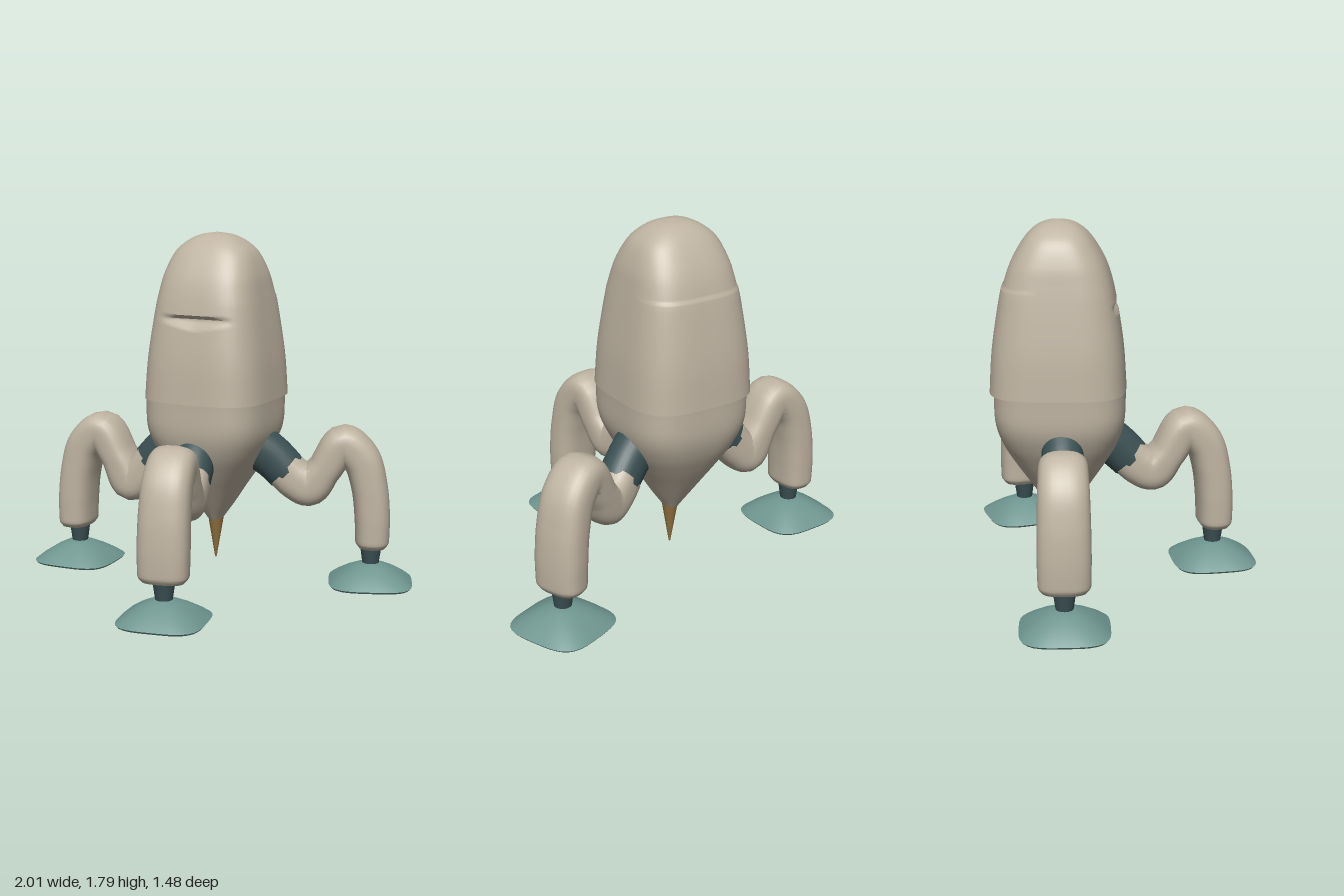
import * as THREE from 'three';
import { toCreasedNormals } from 'three/addons/utils/BufferGeometryUtils.js';

const V = (x, y, z) => new THREE.Vector3(x, y, z);
const mat = (name, color) => Object.assign(new THREE.MeshStandardMaterial({ color }), { name });

// Rounded-square ring: centre c, half sizes hu and hv along axes u and v, exponent n
function ring(c, u, v, hu, hv, n, seg = 32) {
  return Array.from({ length: seg }, (_, j) => {
    const a = (j / seg) * Math.PI * 2, p = Math.cos(a), q = Math.sin(a);
    const r = Math.pow(Math.abs(p) ** n + Math.abs(q) ** n, -1 / n);
    return c.clone().addScaledVector(u, hu * r * p).addScaledVector(v, hv * r * q);
  });
}

// Skin through rings, with both ends capped
function loft(rings, crease = 0.7) {
  const seg = rings[0].length, pos = [], idx = [];
  rings.flat().forEach((p) => pos.push(p.x, p.y, p.z));
  for (let i = 0; i < rings.length - 1; i++) {
    for (let j = 0; j < seg; j++) {
      const a = i * seg + j, b = i * seg + ((j + 1) % seg);
      idx.push(a, b, a + seg, b, b + seg, a + seg);
    }
  }
  [0, rings.length - 1].forEach((i) => {
    const c = rings[i].reduce((s, p) => s.add(p), V(0, 0, 0)).divideScalar(seg);
    const k = pos.length / 3;
    pos.push(c.x, c.y, c.z);
    for (let j = 0; j < seg; j++) {
      const a = i * seg + j, b = i * seg + ((j + 1) % seg);
      if (i === 0) idx.push(k, b, a); else idx.push(k, a, b);
    }
  });
  const g = new THREE.BufferGeometry();
  g.setAttribute('position', new THREE.Float32BufferAttribute(pos, 3));
  g.setIndex(idx);
  return toCreasedNormals(g, crease);
}

const X = V(1, 0, 0), Z = V(0, 0, 1);

// Upright shape from rows of [y, half width, half depth]
function upright(rows, cx, cz, n, samples, seg, rule) {
  const curve = new THREE.CatmullRomCurve3(rows.map(([y, w, d]) => V(w, y, d)), false, 'centripetal');
  const rings = curve.getSpacedPoints(samples).map((p) => {
    const r = ring(V(cx, p.y, cz), Z, X, Math.max(p.z, 0.001), Math.max(p.x, 0.001), n(p.y), seg);
    if (rule) r.forEach(rule);
    return r;
  });
  return loft(rings);
}

// Bent limb in the x-y plane from rows of [x, y, half thickness, half width]
function limb(rows, n, samples) {
  const path = new THREE.CatmullRomCurve3(rows.map(([x, y]) => V(x, y, 0)), false, 'centripetal');
  const size = (t, k) => {
    const f = t * (rows.length - 1), i = Math.min(Math.floor(f), rows.length - 2);
    return THREE.MathUtils.lerp(rows[i][k], rows[i + 1][k], f - i);
  };
  const rings = [];
  for (let s = 0; s <= samples; s++) {
    const t = s / samples, u = Z.clone().cross(path.getTangent(t));
    rings.push(ring(path.getPoint(t), u, Z, size(t, 2), size(t, 3), n));
  }
  return loft(rings, 0.9);
}

export function createModel() {
  const model = new THREE.Group();
  const shell = mat('warm grey shell', 0xbfb4a2);
  const teal = mat('teal pad', 0x6f968f);
  const dark = mat('dark joint', 0x3b5053);
  const bronze = mat('bronze spike', 0x917140);
  const add = (parent, name, geometry, material) => {
    const m = new THREE.Mesh(geometry, material);
    m.name = name;
    parent.add(m);
    return m;
  };
  const cx = 0.01, cz = -0.255;

  // Slit under the brow, and the slightly raised panel on the back
  const carve = (p) => {
    const dx = (p.x - 0.02) / 0.19;
    if (p.z > cz + 0.15 && Math.abs(dx) < 1) {
      const low = 1.36 - 0.035 * (1 - Math.abs(dx));
      const k = p.y > 1.38 ? (1.4 - p.y) / 0.02 : (p.y - low) / (1.38 - low);
      p.z -= 0.032 * (1 - dx * dx) * THREE.MathUtils.clamp(k, 0, 1);
    }
    if (p.z < cz - 0.1 && p.y < 1.48) p.z -= 0.007;
  };

  // Upper shell
  add(model, 'upperShell', upright([
    [0.965, 0.32, 0.332], [1.15, 0.308, 0.32], [1.3, 0.29, 0.3], [1.5, 0.26, 0.262],
    [1.6, 0.24, 0.227], [1.7, 0.198, 0.168], [1.75, 0.145, 0.122], [1.78, 0.085, 0.072], [1.795, 0, 0],
  ], cx, cz, (y) => (y < 1.45 ? 3.5 : 3.5 - (y - 1.45) * 2.5), 110, 80, carve), shell);

  // Lower hull tapering to the spike
  add(model, 'lowerHull', upright([
    [0.32, 0.035, 0.05], [0.4, 0.09, 0.105], [0.5, 0.15, 0.172], [0.6, 0.212, 0.235],
    [0.7, 0.268, 0.288], [0.8, 0.304, 0.318], [0.97, 0.313, 0.325],
  ], cx, -0.25, (y) => 2.1 + Math.min(1.4, Math.max(0, y - 0.35) * 2.8), 40, 64), shell);

  // Spike
  const spike = add(model, 'bottomSpike', new THREE.CylinderGeometry(0.046, 0.004, 0.25, 20), bronze);
  spike.position.set(cx, 0.235, -0.25);

  // Three legs: hip origin, direction and height of the low bend
  const legs = [
    ['rightLeg', 0, -0.245, -0.79, 0.045, -0.025],
    ['leftLeg', 0.04, -0.215, 0.415, -0.16, 0.015],
    ['frontLeg', -0.03, -0.25, 0.145, 0.785, 0.02],
  ];
  for (const [name, ox, oz, dx, dz, dip] of legs) {
    const leg = new THREE.Group();
    leg.name = name;
    leg.position.set(ox, 0, oz);
    leg.rotation.y = Math.atan2(-dz, dx);
    model.add(leg);

    add(leg, 'hipJoint', limb([
      [0.2, 0.715, 0.115, 0.105], [0.28, 0.655, 0.11, 0.1], [0.35, 0.585, 0.106, 0.1],
    ], 2.2, 6), dark);

    add(leg, 'legShell', limb([
      [0.335, 0.6, 0.1, 0.098], [0.395, 0.54 + dip / 2, 0.104, 0.102], [0.465, 0.5 + dip, 0.104, 0.106],
      [0.54, 0.6, 0.086, 0.11], [0.635, 0.733, 0.096, 0.115], [0.725, 0.66, 0.096, 0.12],
      [0.77, 0.52, 0.092, 0.124], [0.788, 0.36, 0.09, 0.126], [0.79, 0.23, 0.086, 0.123],
      [0.79, 0.205, 0.07, 0.105],
    ], 2.8, 60), shell);

    const ankle = add(leg, 'ankle', new THREE.CylinderGeometry(0.057, 0.04, 0.12, 20), dark);
    ankle.position.set(0.785, 0.16, 0);

    add(leg, 'footPad', loft([
      [0, 0.1, 3], [0.008, 0.205, 3.6], [0.018, 0.213, 3.6], [0.045, 0.182, 3.2],
      [0.08, 0.128, 2.8], [0.105, 0.078, 2.3], [0.116, 0.042, 2],
    ].map(([y, h, n]) => ring(V(0.785, y, 0), Z, X, h, h, n, 48))), teal);
  }
  return model;
}
